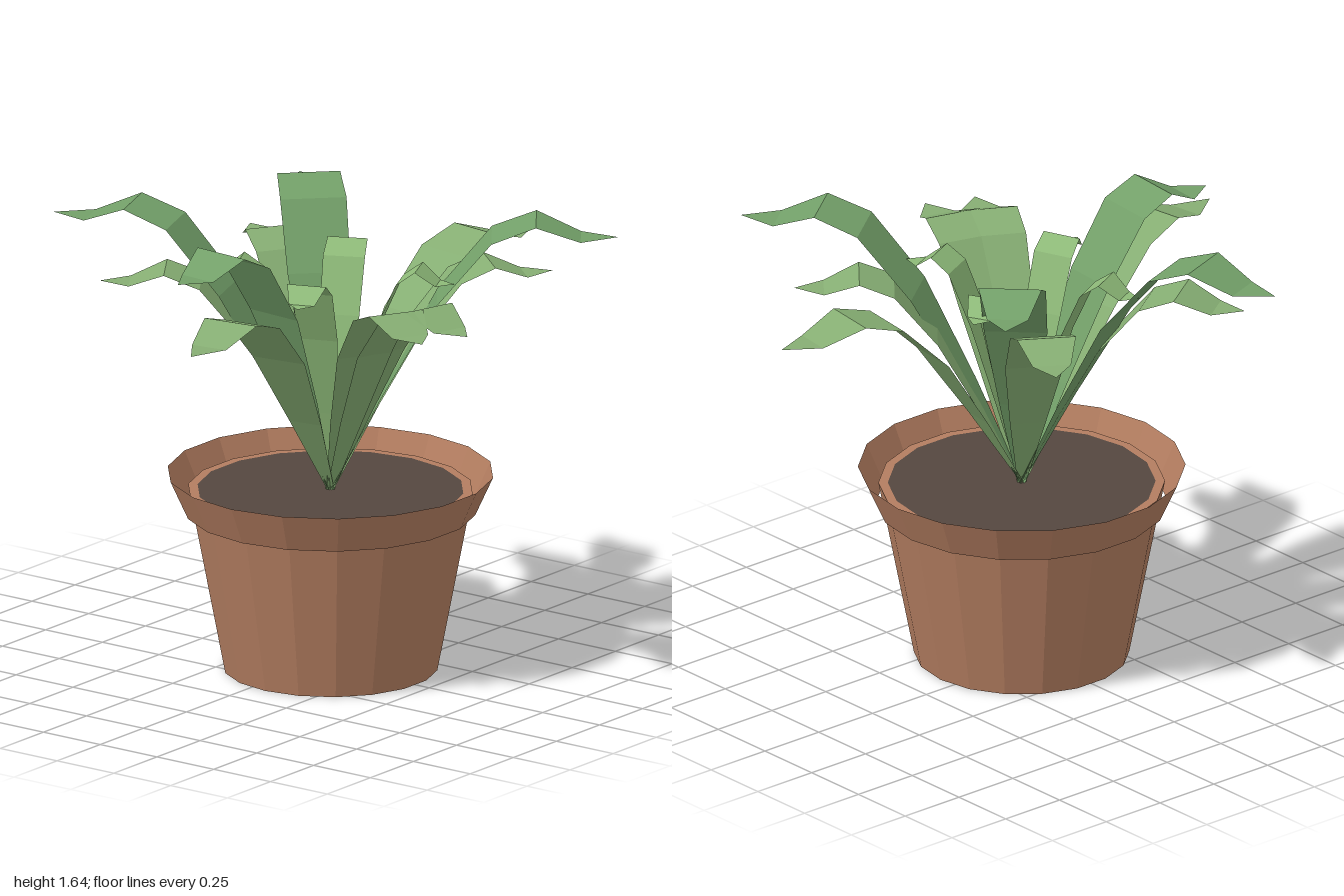
import * as THREE from 'three';

const SIDES = 18;
const CENTRE_Z = 0.065;
const SOIL_Y = 0.65;

const material = (color) => new THREE.MeshStandardMaterial({ color, flatShading: true, side: THREE.DoubleSide });

// Leaf stations: reach (0..1), height (1 = crest), width (1 = widest)
const STATIONS = [
  [0, 0, 0.14], [0.18, 0.36, 0.58], [0.37, 0.71, 0.95], [0.56, 0.94, 1],
  [0.715, 1, 0.95], [0.87, 0.935, 0.62], [1, 0.935, 0],
];

// Arching strip that grows along +x and ends in a flat point
function leafGeometry(length, height, width) {
  const positions = [];
  const index = [];
  STATIONS.forEach(([r, h, w], i) => {
    const half = (w * width) / 2;
    positions.push(r * length, h * height, -half, r * length, h * height, half);
    if (i > 0) {
      const a = (i - 1) * 2;
      index.push(a, a + 1, a + 2);
      if (w > 0) index.push(a + 1, a + 3, a + 2);
    }
  });
  const geometry = new THREE.BufferGeometry();
  geometry.setAttribute('position', new THREE.Float32BufferAttribute(positions, 3));
  geometry.setIndex(index);
  geometry.computeVertexNormals();
  return geometry;
}

// Each kind of leaf: crest height, width, colour, and the tips as [x, z] from the plant's middle
const LEAF_KINDS = [
  { name: 'tallLeaf', height: 0.99, width: 0.235, color: 0x73a069,
    tips: [[-0.35, -0.953], [0.567, -0.565], [0.6, 0.812], [-0.8, -0.065]] },
  { name: 'archingLeaf', height: 0.8, width: 0.22, color: 0x86ae73,
    tips: [[1, 0.135], [-1, 0.145], [0.61, 0.515], [-0.22, 0.77], [-0.39, 0.7], [-0.45, -0.675], [0.43, -0.68]] },
  { name: 'innerLeaf', height: 0.83, width: 0.15, color: 0x8db978,
    tips: [[-0.2, -0.4], [0.39, -0.19], [-0.39, 0.15], [0.19, 0.4]] },
];

export function createModel() {
  const model = new THREE.Group();
  const plant = new THREE.Group();
  plant.position.z = CENTRE_Z;
  model.add(plant);

  const clay = material(0xb37d60);
  const addLathe = (name, profile, mat) => {
    const points = profile.map(([r, y]) => new THREE.Vector2(r, y));
    const mesh = new THREE.Mesh(new THREE.LatheGeometry(points, SIDES, Math.PI / 2), mat);
    mesh.name = name;
    plant.add(mesh);
  };

  // Pot body with a closed bottom and a thin lip, a flared collar round it, and the soil
  addLathe('potBody', [[0, 0], [0.378, 0], [0.503, SOIL_Y], [0.47, SOIL_Y]], clay);
  addLathe('potRim', [[0.512, 0.573], [0.575, 0.712]], clay);
  addLathe('soil', [[0.47, SOIL_Y], [0, SOIL_Y]], material(0x54473f));

  // Leaves fan out from one point in the soil
  const leaves = new THREE.Group();
  leaves.name = 'leaves';
  leaves.position.y = SOIL_Y;
  plant.add(leaves);
  for (const { name, height, width, color, tips } of LEAF_KINDS) {
    const mat = material(color);
    for (const [x, z] of tips) {
      const leaf = new THREE.Mesh(leafGeometry(Math.hypot(x, z), height, width), mat);
      leaf.name = name;
      leaf.rotation.y = Math.atan2(-z, x);
      leaves.add(leaf);
    }
  }
  return model;
}
